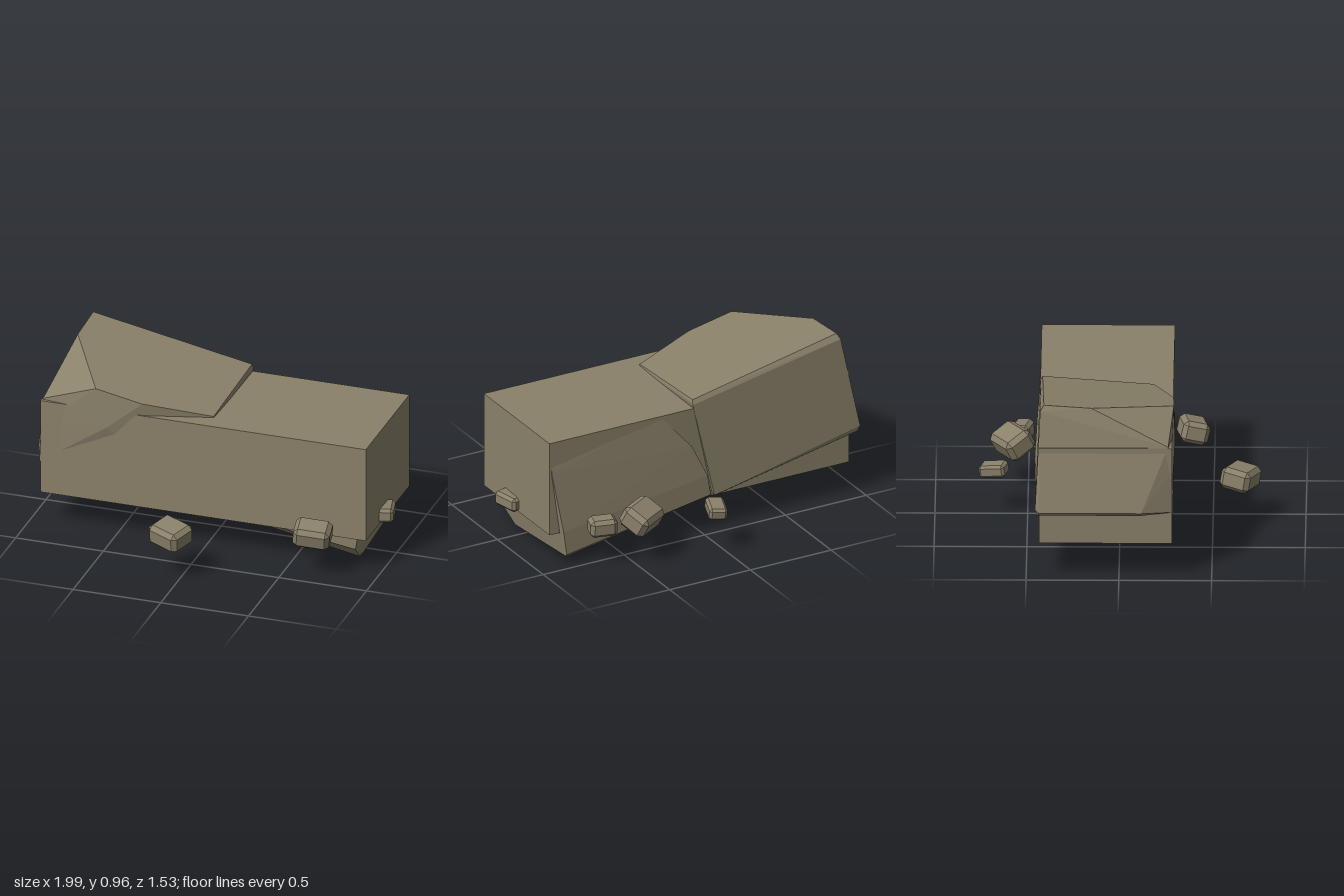
import * as THREE from 'three';
import { ConvexGeometry } from 'three/addons/geometries/ConvexGeometry.js';

const stone = new THREE.MeshStandardMaterial({ color: 0x8a816a });
stone.name = 'stone';

function addMesh(parent, name, geometry) {
  const mesh = new THREE.Mesh(geometry, stone);
  mesh.name = name;
  parent.add(mesh);
  return mesh;
}

// Faceted boulder: convex hull around a few corner points
function boulder(points) {
  return new ConvexGeometry(points.map((p) => new THREE.Vector3(...p)));
}

// Block with every edge chamfered by c
function chippedBlock(w, h, d, c) {
  const points = [];
  for (const x of [-w / 2, w / 2])
    for (const y of [-h / 2, h / 2])
      for (const z of [-d / 2, d / 2]) {
        const sx = Math.sign(x) * c, sy = Math.sign(y) * c, sz = Math.sign(z) * c;
        points.push([x, y - sy, z - sz], [x - sx, y, z - sz], [x - sx, y - sy, z]);
      }
  return boulder(points);
}

export function createModel() {
  const model = new THREE.Group();
  model.name = 'rockFormation';

  // Plain central block
  const block = addMesh(model, 'mainBlock', new THREE.BoxGeometry(1.855, 0.547, 0.718));
  block.position.set(-0.005, 0.4615, -0.073);

  // Tilted slab breaking through the top, back and one end
  addMesh(model, 'upperSlab', boulder([
    // sloping top
    [-0.87, 0.96, -0.405], [0.03, 0.782, -0.42], [0.018, 0.742, 0.18],
    [-0.35, 0.808, 0.29], [-0.615, 0.86, 0.293], [-0.87, 0.943, -0.15],
    // narrow bevel along the back and right end
    [-0.885, 0.93, -0.425], [0.035, 0.755, -0.432], [0.035, 0.765, -0.41], [0.022, 0.722, 0.17],
    // end face and front bulge
    [-0.925, 0.74, 0.265], [-0.55, 0.64, 0.3], [-0.93, 0.6, 0.28],
    [-0.94, 0.37, 0.28], [-1, 0.385, 0.12], [-1, 0.385, -0.43],
    // underside
    [-0.99, 0.4, -0.452], [-0.98, 0.365, -0.44], [-0.98, 0.365, 0.12],
    [-0.085, 0.2, -0.458], [-0.1, 0.19, -0.44], [-0.1, 0.22, 0.15],
  ]));

  // Matching slab below, showing at the bottom and back
  addMesh(model, 'lowerSlab', boulder([
    // sloping underside
    [0.825, 0, 0.11], [0.825, 0.04, -0.44], [0.02, 0.165, 0.11], [-0.07, 0.2, -0.445],
    [0.855, 0.115, 0.262], [0.1, 0.23, 0.27], [0.84, 0.015, 0.09], [0.84, 0.055, -0.44],
    // back face
    [0.83, 0.06, -0.457], [-0.06, 0.21, -0.46], [-0.04, 0.33, -0.462], [0.85, 0.2, -0.459],
    [0.05, 0.52, -0.45], [0.91, 0.55, -0.436], [0.24, 0.735, -0.43], [0.9, 0.7, -0.42],
    // buried front
    [0.87, 0.2, 0.265], [0.9, 0.6, 0.1], [0.1, 0.6, 0.2],
  ]));

  // Loose stones: position, size, rotation in degrees
  const stones = [
    [[-0.065, 0.24, 0.648], [0.2, 0.12, 0.17], [8, -23, -5]],
    [[0.655, 0.236, 0.388], [0.2, 0.12, 0.15], [14, 8, -5]],
    [[0.92, 0.23, -0.015], [0.12, 0.08, 0.16], [-2, 14, 0]],
    [[0.437, 0.25, -0.585], [0.22, 0.13, 0.165], [-28, 31, 0]],
    [[0.653, 0.225, -0.535], [0.15, 0.1, 0.105], [-4, -14, 0]],
    [[0.033, 0.243, -0.683], [0.1, 0.07, 0.145], [-8, -18, 4]],
  ];
  stones.forEach(([position, size, turn], i) => {
    const mesh = addMesh(model, 'looseStone' + (i + 1), chippedBlock(...size, size[1] * 0.2));
    mesh.position.set(...position);
    mesh.rotation.set(...turn.map(THREE.MathUtils.degToRad), 'YXZ');
  });

  return model;
}
